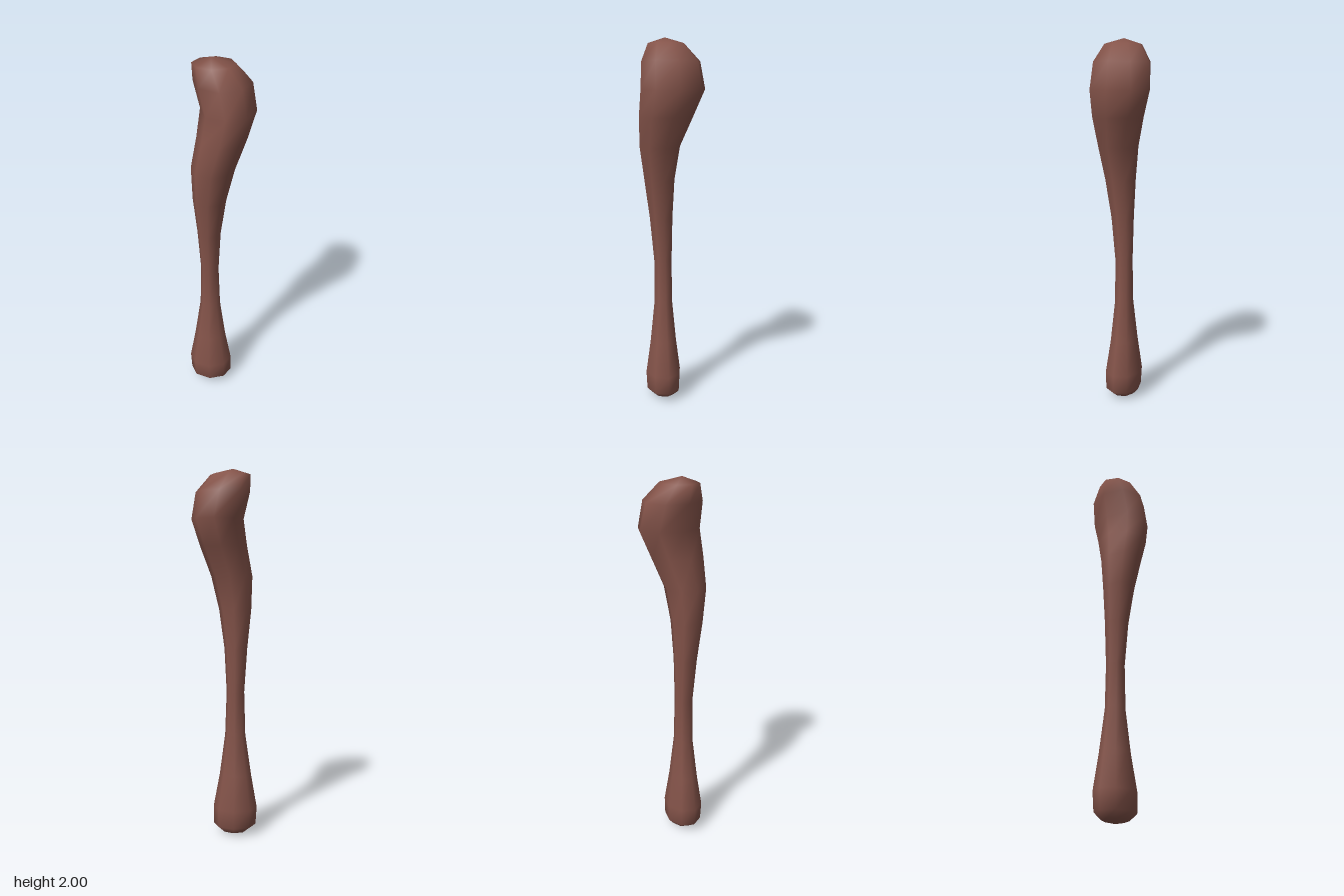
import * as THREE from 'three';

const SIDES = 8;

// Cross-sections from foot to head: [y, xMin, xMax, zMin, zMax]
const SECTIONS = [
  [0.015, -0.125, 0.02, -0.035, 0.09],
  [0.05, -0.172, 0.064, -0.065, 0.125],
  [0.15, -0.178, 0.065, -0.07, 0.13],
  [0.34, -0.145, 0.03, -0.045, 0.103],
  [0.57, -0.112, 0.0, -0.022, 0.08],
  [0.81, -0.105, -0.008, -0.02, 0.08],
  [1.05, -0.12, 0.005, -0.025, 0.103],
  [1.26, -0.14, 0.035, -0.035, 0.133],
  [1.44, -0.145, 0.078, -0.06, 0.162],
  [1.6, -0.117, 0.135, -0.12, 0.175],
  [1.74, -0.1, 0.177, -0.174, 0.172],
  [1.88, -0.133, 0.154, -0.155, 0.16],
  [1.97, -0.135, 0.077, -0.08, 0.115],
];

// Loft of eight-sided rings closed by a point at each end
function loft(sections, bottom, top) {
  const positions = [];
  const index = [];
  for (const [y, x0, x1, z0, z1] of sections) {
    for (let i = 0; i < SIDES; i++) {
      const a = (i / SIDES) * Math.PI * 2;
      positions.push(
        (x0 + x1) / 2 + Math.cos(a) * (x1 - x0) / 2,
        y,
        (z0 + z1) / 2 + Math.sin(a) * (z1 - z0) / 2
      );
    }
  }
  const low = sections.length * SIDES;
  const high = low + 1;
  positions.push(...bottom, ...top);

  const last = (sections.length - 1) * SIDES;
  for (let i = 0; i < SIDES; i++) {
    const j = (i + 1) % SIDES;
    for (let r = 0; r < last; r += SIDES) {
      index.push(r + i, r + SIDES + i, r + j);
      index.push(r + j, r + SIDES + i, r + SIDES + j);
    }
    index.push(low, i, j);
    index.push(high, last + j, last + i);
  }

  const geometry = new THREE.BufferGeometry();
  geometry.setAttribute('position', new THREE.Float32BufferAttribute(positions, 3));
  geometry.setIndex(index);
  geometry.computeVertexNormals();
  return geometry;
}

export function createModel() {
  const group = new THREE.Group();
  group.name = 'woodenClub';

  // Narrow grip flowing into a flared foot and a bent, heavy head
  const club = new THREE.Mesh(
    loft(SECTIONS, [-0.053, 0, 0.028], [-0.042, 2, 0.022]),
    new THREE.MeshStandardMaterial({ color: 0x85544a })
  );
  club.name = 'clubBody';
  group.add(club);
  return group;
}
